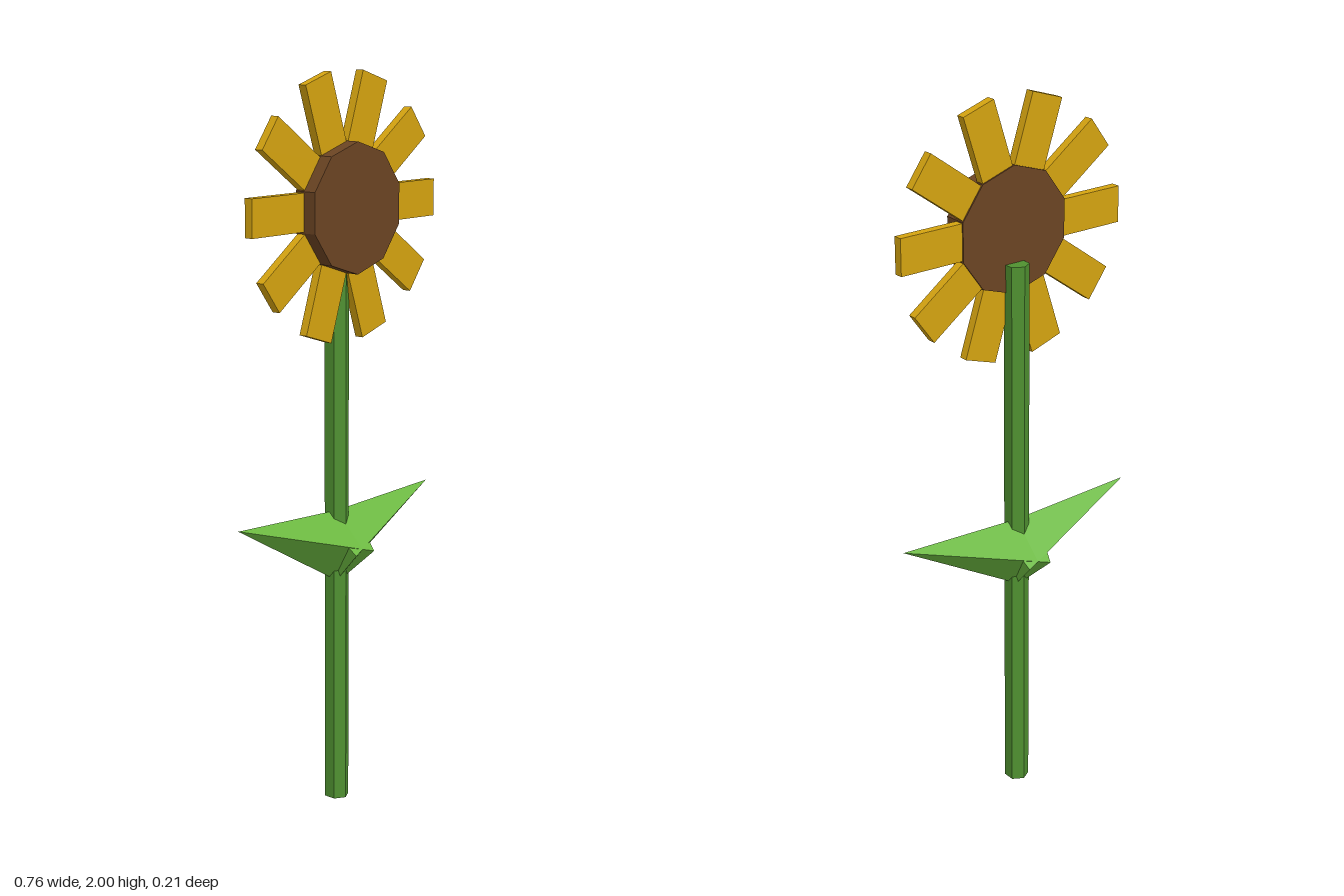
import * as THREE from 'three';

const material = (name, color) => {
  const m = new THREE.MeshStandardMaterial({ color, flatShading: true });
  m.name = name;
  return m;
};

export function createModel() {
  const flower = new THREE.Group();
  flower.name = 'flower';
  const stemGreen = material('stem green', 0x4f9030);
  const leafGreen = material('leaf green', 0x6bb840);
  const petalYellow = material('petal yellow', 0xd4a310);
  const seedBrown = material('seed brown', 0x6b4423);

  const add = (name, geometry, mat, parent = flower) => {
    const mesh = new THREE.Mesh(geometry, mat);
    mesh.name = name;
    parent.add(mesh);
    return mesh;
  };

  // Six-sided stem, standing on the ground
  add('stem', new THREE.CylinderGeometry(0.034, 0.034, 1.56, 6).translate(0, 0.78, 0), stemGreen);

  // Two four-sided pyramid leaves whose bases cross inside the stem
  const base = new THREE.Vector2(-0.036, 0.721);
  const tip = new THREE.Vector2(0.378, 0.84);
  const axis = tip.clone().sub(base);
  const leafGeometry = new THREE.ConeGeometry(0.104, axis.length(), 4)
    .rotateZ(axis.angle() - Math.PI / 2)
    .translate((base.x + tip.x) / 2, (base.y + tip.y) / 2, 0);
  add('leftLeaf', leafGeometry, leafGreen);
  add('rightLeaf', leafGeometry, leafGreen).rotation.y = Math.PI;

  // Flower head: ten-sided seed disc ringed by ten box petals
  const head = new THREE.Group();
  head.name = 'flowerHead';
  head.position.y = 1.648;
  flower.add(head);
  add('seedDisc', new THREE.CylinderGeometry(0.173, 0.173, 0.067, 10)
    .rotateX(Math.PI / 2).translate(0, 0, 0.0415), seedBrown, head);

  const petalGeometry = new THREE.BoxGeometry(0.214, 0.1, 0.025).translate(0.247, 0, 0.0245);
  for (let i = 0; i < 10; i++) {
    add(`petal${i + 1}`, petalGeometry, petalYellow, head).rotation.z = (i * Math.PI) / 5;
  }
  return flower;
}
